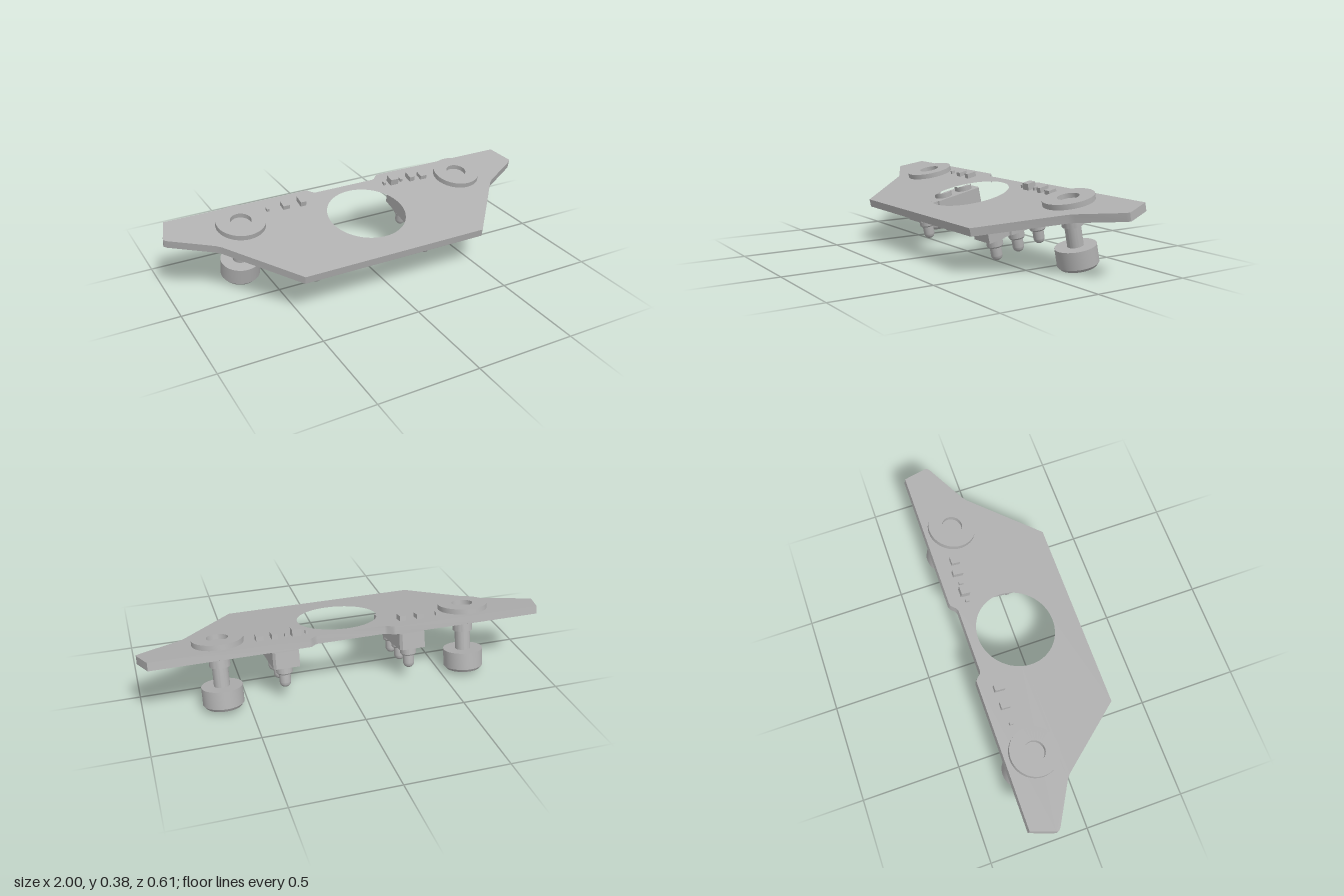
import * as THREE from 'three';
import { toCreasedNormals } from 'three/addons/utils/BufferGeometryUtils.js';

const grey = new THREE.MeshStandardMaterial({ color: 0xb0b0b0 });
grey.name = 'grey';

function add(parent, name, geometry, x = 0, y = 0, z = 0) {
  const mesh = new THREE.Mesh(geometry, grey);
  mesh.name = name;
  mesh.position.set(x, y, z);
  parent.add(mesh);
  return mesh;
}

// Turned part from [radius, height] pairs listed bottom to top, with sharp edges kept
function turned(points, segments = 40) {
  const profile = points.map(([r, y]) => new THREE.Vector2(r, y));
  return toCreasedNormals(new THREE.LatheGeometry(profile, segments), 0.5);
}

// Flat shape drawn in plan as [x, z], made solid between two heights
function slab(plan, bottom, top, holes = []) {
  const shape = new THREE.Shape(plan.map(([x, z]) => new THREE.Vector2(x, -z)));
  shape.holes.push(...holes);
  const geometry = new THREE.ExtrudeGeometry(shape, {
    depth: top - bottom, bevelEnabled: false, curveSegments: 32,
  });
  geometry.rotateX(-Math.PI / 2);
  geometry.translate(0, bottom, 0);
  return toCreasedNormals(geometry, 0.5);
}

function ring(radius, count) {
  return Array.from({ length: count }, (_, i) => {
    const a = (i / count) * Math.PI * 2;
    return [radius * Math.cos(a), radius * Math.sin(a)];
  });
}

// Plate with a round opening and a shallow notch in the back edge
function buildBoard(parent) {
  const half = [
    [0.168, -0.264], [0.18, -0.27], [0.2, -0.292], [0.212, -0.2975], [0.96, -0.2975],
    [0.998, -0.18], [1, -0.168], [0.988, -0.155], [0.79, -0.04], [0.766, -0.02], [0.49, 0.314],
  ];
  const outline = [...half, ...half.map(([x, z]) => [-x, z]).reverse()];
  const hole = new THREE.Path();
  hole.absarc(0, 0.017, 0.2, 0, Math.PI * 2, true);
  add(parent, 'board', slab(outline, -0.04, 0, [hole]));
}

// Captive screw: cap ring on top, washer and collar below, socketed head at the bottom
function buildScrew(parent, x) {
  const screw = new THREE.Group();
  screw.name = 'screw';
  screw.position.set(x, 0, -0.1515);
  parent.add(screw);
  add(screw, 'capRing', turned([[0.1225, 0], [0.1225, 0.026], [0.052, 0.026], [0.052, 0.002], [0, 0.002]]));
  add(screw, 'washer', turned([[0.04, -0.064], [0.077, -0.064], [0.093, -0.05], [0.093, -0.04]]));
  add(screw, 'collar', turned([[0.03, -0.114], [0.05, -0.114], [0.05, -0.06]]));
  add(screw, 'shaft', turned([[0.0385, -0.215], [0.0385, -0.11]]));
  add(screw, 'head', turned([[0.087, -0.315], [0.099, -0.3], [0.099, -0.213], [0, -0.213]]));
  const hex = new THREE.Path(ring(0.05, 6).map(([a, b]) => new THREE.Vector2(a, b)));
  add(screw, 'headSocket', slab(ring(0.087, 40), -0.315, -0.255, [hex]));
  const floor = new THREE.CircleGeometry(0.06, 24);
  floor.rotateX(Math.PI / 2);
  add(screw, 'socketFloor', floor, 0, -0.256, 0);
}

// Block carrying three spring pins
function buildConnector(parent, x) {
  const connector = new THREE.Group();
  connector.name = 'pinConnector';
  connector.position.set(x, 0, -0.041);
  parent.add(connector);
  const w = 0.0635, l = 0.198;
  add(connector, 'pinBlock', slab([
    [-w, -l], [w - 0.012, -l], [w, -l + 0.012], [w, 0.068], [w - 0.008, 0.074],
    [w - 0.008, 0.105], [w, 0.111], [w, l], [-w, l],
  ], -0.147, -0.065));
  // Rounded pin tip
  const tip = [];
  for (let i = 0; i <= 8; i++) {
    const a = (i / 8) * Math.PI / 2;
    tip.push([0.028 * Math.sin(a), -0.235 - 0.028 * Math.cos(a)]);
  }
  for (const z of [-0.13, 0, 0.13]) {
    add(connector, 'pinPad', turned([[0.046, -0.066], [0.046, -0.039]]), 0, 0, z);
    add(connector, 'pinSleeve', turned([[0.02, -0.193], [0.035, -0.193], [0.04, -0.186], [0.04, -0.146]]), 0, 0, z);
    add(connector, 'pinTip', turned([...tip, [0.028, -0.19]], 24), 0, 0, z);
  }
}

export function createModel() {
  const model = new THREE.Group();
  model.name = 'pinBoard';

  // Everything is built level, then tipped toward the front
  const assembly = new THREE.Group();
  assembly.name = 'tiltedAssembly';
  assembly.position.y = 0.296;
  assembly.rotation.x = THREE.MathUtils.degToRad(12);
  model.add(assembly);

  buildBoard(assembly);
  for (const side of [-1, 1]) {
    buildScrew(assembly, side * 0.622);
    buildConnector(assembly, side * 0.318);
  }

  // Small surface components: x, z, width, height, depth
  const chips = [
    [-0.459, -0.208, 0.013, 0.016, 0.02],
    [-0.365, -0.208, 0.034, 0.022, 0.046],
    [-0.275, -0.206, 0.03, 0.026, 0.052],
    [0.205, -0.206, 0.012, 0.016, 0.02],
    [0.256, -0.206, 0.045, 0.034, 0.046],
    [0.305, -0.206, 0.012, 0.016, 0.022],
    [0.363, -0.206, 0.028, 0.026, 0.052],
    [0.432, -0.198, 0.036, 0.022, 0.044],
  ];
  for (const [x, z, w, h, d] of chips) {
    add(assembly, 'chip', new THREE.BoxGeometry(w, h, d), x, h / 2, z);
  }
  return model;
}
